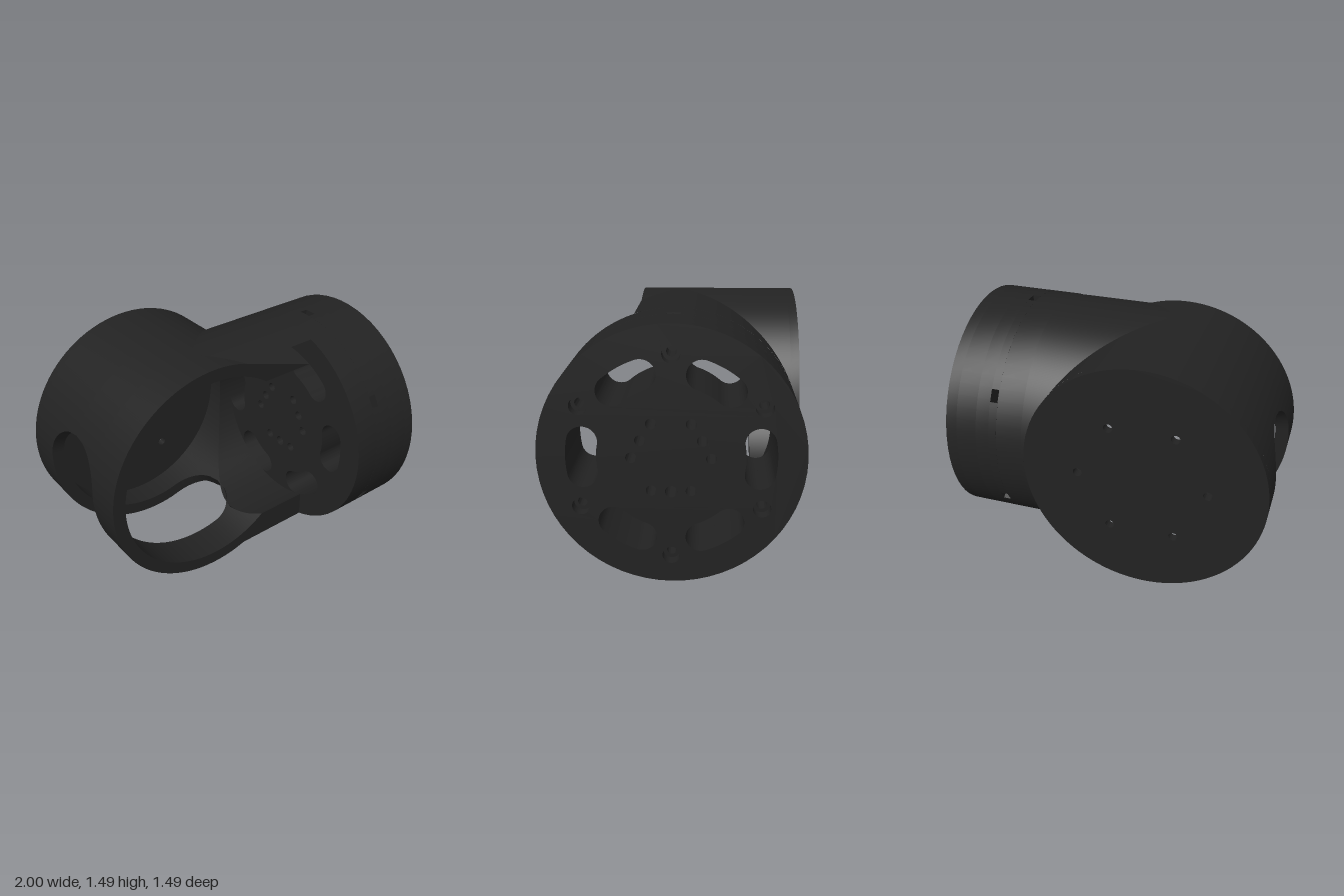
import * as THREE from 'three';
import { toCreasedNormals } from 'three/addons/utils/BufferGeometryUtils.js';

const R = 0.743;          // outer radius of both crossing cylinders
const CX = -0.257;        // axis of the ring housing (runs along z)
const CY = 0.743;         // height of both axes
const RI = 0.66;          // housing cavity radius
const RB = 0.58;          // bore radius of the side arm
const ZF = 0.24;          // front face of the housing
const ZB = -0.69;         // inside of the back plate
const XD = 0.5;           // where the end disc begins
const OC = -0.255, OH = 0.255; // side opening: centre and half width in z
const RAD = Math.PI / 180;

// Ribbon of quads between two edges; edge(t) returns the two points at t
function ribbon(n, edge) {
  const pos = [], idx = [];
  for (let i = 0; i <= n; i++) {
    const [a, b] = edge(i / n);
    pos.push(...a, ...b);
    if (i < n) idx.push(2 * i, 2 * i + 2, 2 * i + 1, 2 * i + 1, 2 * i + 2, 2 * i + 3);
  }
  const g = new THREE.BufferGeometry();
  g.setAttribute('position', new THREE.Float32BufferAttribute(pos, 3));
  g.setIndex(idx);
  g.computeVertexNormals();
  return g;
}

// Point on the housing at angle (degrees), radius and depth
const polar = (deg, r, z) => [CX + r * Math.cos(deg * RAD), CY + r * Math.sin(deg * RAD), z];

// Half width of the round-ended side opening at an angle
function openHalf(deg) {
  const q = Math.max(176 - deg, deg - 286, 0) / 20;
  return OH * Math.sqrt(Math.max(0, 1 - q * q));
}

function circlePath(x, y, r) {
  return new THREE.Path().absarc(x, y, r, 0, Math.PI * 2, true);
}

// Kidney slot around the disc centre
function kidney(angle) {
  const p = new THREE.Path(), half = 10.5 * RAD, mid = 0.495, w = 0.085;
  const a0 = angle - half, a1 = angle + half;
  p.absarc(0, 0, mid + w, a0, a1, false);
  p.absarc(mid * Math.cos(a1), mid * Math.sin(a1), w, a1, a1 + Math.PI, false);
  p.absarc(0, 0, mid - w, a1, a0, true);
  p.absarc(mid * Math.cos(a0), mid * Math.sin(a0), w, a0 + Math.PI, a0 + 2 * Math.PI, false);
  return p;
}

// Disc outline, optionally with six nut pockets cut into the rim
function discShape(notched, boltRadius) {
  const s = new THREE.Shape();
  const half = 0.04 / R;
  for (let i = 0; i < 6; i++) {
    const a = (30 + 60 * i) * RAD;
    if (notched) {
      for (const d of [-half, half]) {
        const deep = [0.64 * Math.cos(a) - d * R * Math.sin(a), 0.64 * Math.sin(a) + d * R * Math.cos(a)];
        if (i === 0 && d < 0) s.moveTo(...deep); else s.lineTo(...deep);
      }
    }
    s.absarc(0, 0, R, a + half, a + 60 * RAD - half, false);
  }
  if (!notched) {
    const full = new THREE.Shape();
    full.absarc(0, 0, R, 0, Math.PI * 2, false);
    s.curves = full.curves;
  }
  for (let i = 0; i < 6; i++) {
    s.holes.push(kidney(i * 60 * RAD));
    const a = (30 + 60 * i) * RAD;
    if (boltRadius) s.holes.push(circlePath(0.58 * Math.cos(a), 0.58 * Math.sin(a), boltRadius));
  }
  for (const m of [-1, 1])
    for (const [u, v] of [[0.11, 0.195], [0.17, 0.1], [0.22, 0], [0.11, -0.19]])
      s.holes.push(circlePath(m * u, v, 0.03));
  s.holes.push(circlePath(0, -0.195, 0.034));
  return s;
}

export function createModel() {
  const group = new THREE.Group();
  const black = new THREE.MeshStandardMaterial({ color: 0x222222, side: THREE.DoubleSide });
  black.name = 'matte black';
  const add = (name, geometry) => {
    const mesh = new THREE.Mesh(geometry, black);
    mesh.name = name;
    group.add(mesh);
    return mesh;
  };
  const extrude = (shape, depth, seg = 48) => toCreasedNormals(
    new THREE.ExtrudeGeometry(shape, { depth, bevelEnabled: false, curveSegments: seg }), 0.5);

  // Housing walls: three bands, split at the side opening and the crossing arm
  const bands = (name, r, cut) => {
    add(name + 'Back', ribbon(360, t => {
      const d = t * 360;
      return [polar(d, r, ZB), polar(d, r, Math.max(ZB, Math.min(OC - openHalf(d), -cut(d))))];
    }));
    add(name + 'Middle', ribbon(360, t => {
      const d = t * 360, z = OC + openHalf(d);
      return [polar(d, r, z), polar(d, r, Math.max(z, -cut(d)))];
    }));
    add(name + 'Front', ribbon(360, t => {
      const d = t * 360, z = cut(d);
      return [polar(d, r, z), polar(d, r, Math.max(z, ZF))];
    }));
  };
  bands('housingOuterWall', R, d => Math.max(0, R * Math.cos(d * RAD)));
  bands('housingInnerWall', RI, d => {
    const dy = RI * Math.sin(d * RAD);
    return Math.cos(d * RAD) > 0 ? Math.sqrt(Math.max(0, RB * RB - dy * dy)) : 0;
  });

  // Thickness of the wall around the side opening
  for (const side of [-1, 1]) {
    add('openingRim', ribbon(150, t => {
      const d = 156 + 150 * t, z = OC + side * openHalf(d);
      const arm = d > 270 ? Math.sqrt(R * R - z * z) / Math.abs(Math.sin(d * RAD)) : 0;
      return [polar(d, RI, z), polar(d, Math.max(R, arm), z)];
    }));
  }

  // Back plate with six screw holes
  const plate = new THREE.Shape();
  plate.absarc(0, 0, R, 0, Math.PI * 2, false);
  for (let i = 0; i < 6; i++)
    plate.holes.push(circlePath(0.397 * Math.cos(i * 60 * RAD), 0.397 * Math.sin(i * 60 * RAD), 0.028));
  add('backPlate', extrude(plate, ZB + R)).position.set(CX, CY, -R);

  // Front face: ring that runs on into the side arm
  const yo = Math.sqrt(R * R - ZF * ZF), yi = Math.sqrt(RB * RB - ZF * ZF);
  const ao = Math.atan2(yo, ZF), ai = Math.asin(yi / RI), xe = XD - CX;
  const face = new THREE.Shape();
  face.moveTo(xe, yo);
  face.absarc(0, 0, R, ao, 2 * Math.PI - ao, false);
  face.lineTo(xe, -yo);
  face.lineTo(xe, -yi);
  face.absarc(0, 0, RI, 2 * Math.PI - ai, ai, true);
  face.lineTo(xe, yi);
  add('frontFace', new THREE.ShapeGeometry(face, 64)).position.set(CX, CY, ZF);

  // Side arm, outside and bore, both cut off at the front face
  const arm = (name, r, start) => {
    const over = Math.asin(ZF / r);
    add(name, ribbon(300, t => {
      const a = -over + t * (Math.PI + 2 * over);
      const dy = r * Math.cos(a), z = -r * Math.sin(a);
      return [[Math.min(XD, start(dy, z)), CY + dy, z], [XD, CY + dy, z]];
    }));
  };
  arm('armOuterWall', R, (dy, z) => {
    const x = CX + Math.abs(z), q = (z - OC) / OH;
    if (dy > 0 || Math.abs(q) > 1) return x;
    return Math.max(x, CX - dy * Math.tan((16 + 20 * Math.sqrt(1 - q * q)) * RAD));
  });
  arm('armBore', RB, dy => CX + Math.sqrt(RI * RI - dy * dy));

  // End disc in layers: nut pockets in the rim, stepped bolt holes in the outer face
  for (const [x0, x1, notched, bolt] of [
    [XD, 0.665, false, 0], [0.665, 0.715, true, 0], [0.715, 0.8, false, 0],
    [0.8, 0.93, false, 0.028], [0.93, 1, false, 0.05]]) {
    const g = extrude(discShape(notched, bolt), x1 - x0, notched ? 12 : 32);
    g.rotateY(Math.PI / 2);
    add('endDisc', g).position.set(x0, CY, 0);
  }
  return group;
}
